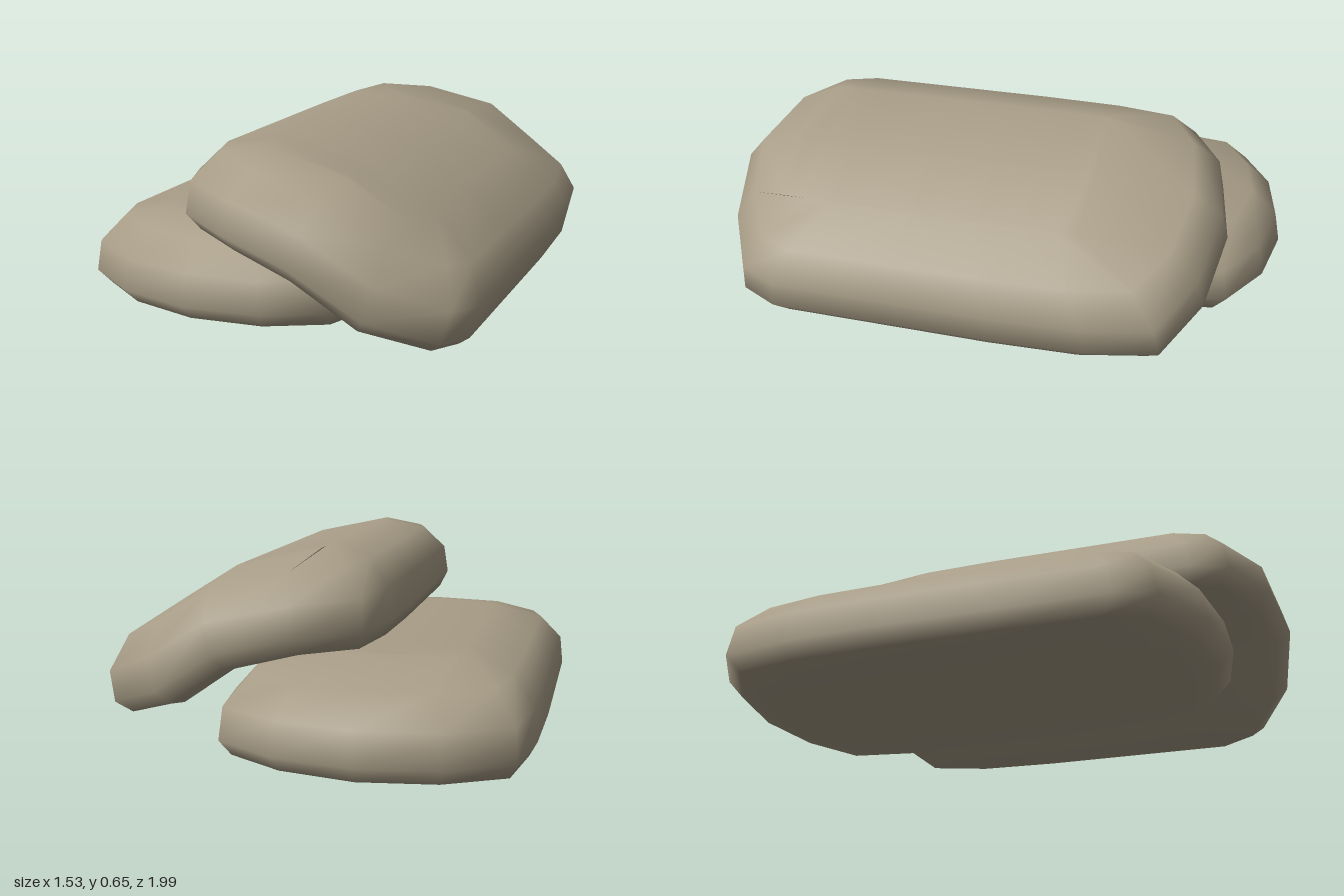
import * as THREE from 'three';

// Right half of the cushion plan, front centre to back centre: [x, z]
const HALF = [
  [0, 0.905], [0.27, 0.86], [0.48, 0.74], [0.53, 0.61], [0.53, 0.2],
  [0.53, -0.18], [0.52, -0.51], [0.48, -0.75], [0.27, -0.865], [0, -0.91],
];

// Rings from the underside up: height, x scale, front z scale, back z scale, x limit
const LEVELS = [
  [0, 0.95, 0.84, 0.84, 0.25],
  [0.02, 0.945, 0.94, 0.94, 1],
  [0.08, 1, 1, 1, 1],
  [0.19, 0.98, 0.975, 0.975, 1],
  [0.285, 0.83, 0.885, 0.865, 1],
  [0.325, 0.95, 0.72, 0.5, 0.25],
];
const HEIGHT = 0.325;

// Sagging section: [local x, underside x, y, upper x, y]
const BEND = [
  [-0.5, -0.22, 0.34, -0.21, 0.665],
  [-0.25, 0.03, 0.33, 0.03, 0.65],
  [0, 0.24, 0.28, 0.34, 0.58],
  [0.25, 0.44, 0.14, 0.55, 0.45],
  [0.5, 0.685, 0.05, 0.785, 0.345],
];

function bend(x, y) {
  const k = Math.min(3, Math.max(0, Math.floor((x + 0.5) / 0.25)));
  const t = (x - BEND[k][0]) / 0.25;
  const at = (j) => THREE.MathUtils.lerp(BEND[k][j], BEND[k + 1][j], t);
  const h = y / HEIGHT;
  return [
    THREE.MathUtils.lerp(at(1), at(3), h),
    THREE.MathUtils.lerp(at(2), at(4), h),
  ];
}

// Stacked rings, closed by strips across the top and underside
function cushionGeometry(place, zShift) {
  const positions = [];
  const index = [];
  const add = (x, y, z) => {
    const [px, py] = place(x, y);
    positions.push(px, py, z + zShift);
    return positions.length / 3 - 1;
  };
  const tri = (a, b, c) => {
    if (a !== b && b !== c && a !== c) index.push(a, b, c);
  };
  const quad = (a, b, c, d) => {
    tri(a, b, c);
    tri(a, c, d);
  };

  const last = HALF.length - 1;
  const count = last * 2;
  const ringPoint = (i, [, sx, front, back, limit]) => {
    const [x, z] = HALF[i];
    return [Math.min(x * sx, limit), z * (z > 0 ? front : back)];
  };

  const rings = LEVELS.map((level) => {
    const ring = [];
    for (let n = 0; n < count; n++) {
      const mirrored = n > last;
      const [x, z] = ringPoint(mirrored ? count - n : n, level);
      ring.push(add(mirrored ? -x : x, level[0], z));
    }
    return ring;
  });

  // Rounded sides
  for (let l = 0; l < rings.length - 1; l++) {
    for (let n = 0; n < count; n++) {
      const m = (n + 1) % count;
      quad(rings[l][n], rings[l][m], rings[l + 1][m], rings[l + 1][n]);
    }
  }

  // Top and underside, with a middle column that follows the bend
  for (const l of [0, LEVELS.length - 1]) {
    const ring = rings[l];
    const mid = HALF.map((_, i) =>
      i === 0 || i === last ? ring[i] : add(0, LEVELS[l][0], ringPoint(i, LEVELS[l])[1]));
    for (let i = 0; i < last; i++) {
      const left = ring[(count - i) % count];
      const nextLeft = ring[count - i - 1];
      if (l > 0) {
        quad(ring[i], ring[i + 1], mid[i + 1], mid[i]);
        quad(mid[i], mid[i + 1], nextLeft, left);
      } else {
        quad(mid[i], mid[i + 1], ring[i + 1], ring[i]);
        quad(left, nextLeft, mid[i + 1], mid[i]);
      }
    }
  }

  const geometry = new THREE.BufferGeometry();
  geometry.setAttribute('position', new THREE.Float32BufferAttribute(positions, 3));
  geometry.setIndex(index);
  geometry.computeVertexNormals();
  return geometry;
}

export function createModel() {
  const group = new THREE.Group();
  group.name = 'stackedBags';

  const cloth = new THREE.MeshStandardMaterial({ color: 0xa89d87 });
  cloth.name = 'sandy cloth';

  // Flat bag on the ground
  const lower = new THREE.Mesh(cushionGeometry((x, y) => [x - 0.24, y], -0.09), cloth);
  lower.name = 'lowerBag';

  // Bag sagging over the lower one's left edge
  const upper = new THREE.Mesh(cushionGeometry(bend, 0.085), cloth);
  upper.name = 'upperBag';

  group.add(lower, upper);
  return group;
}
